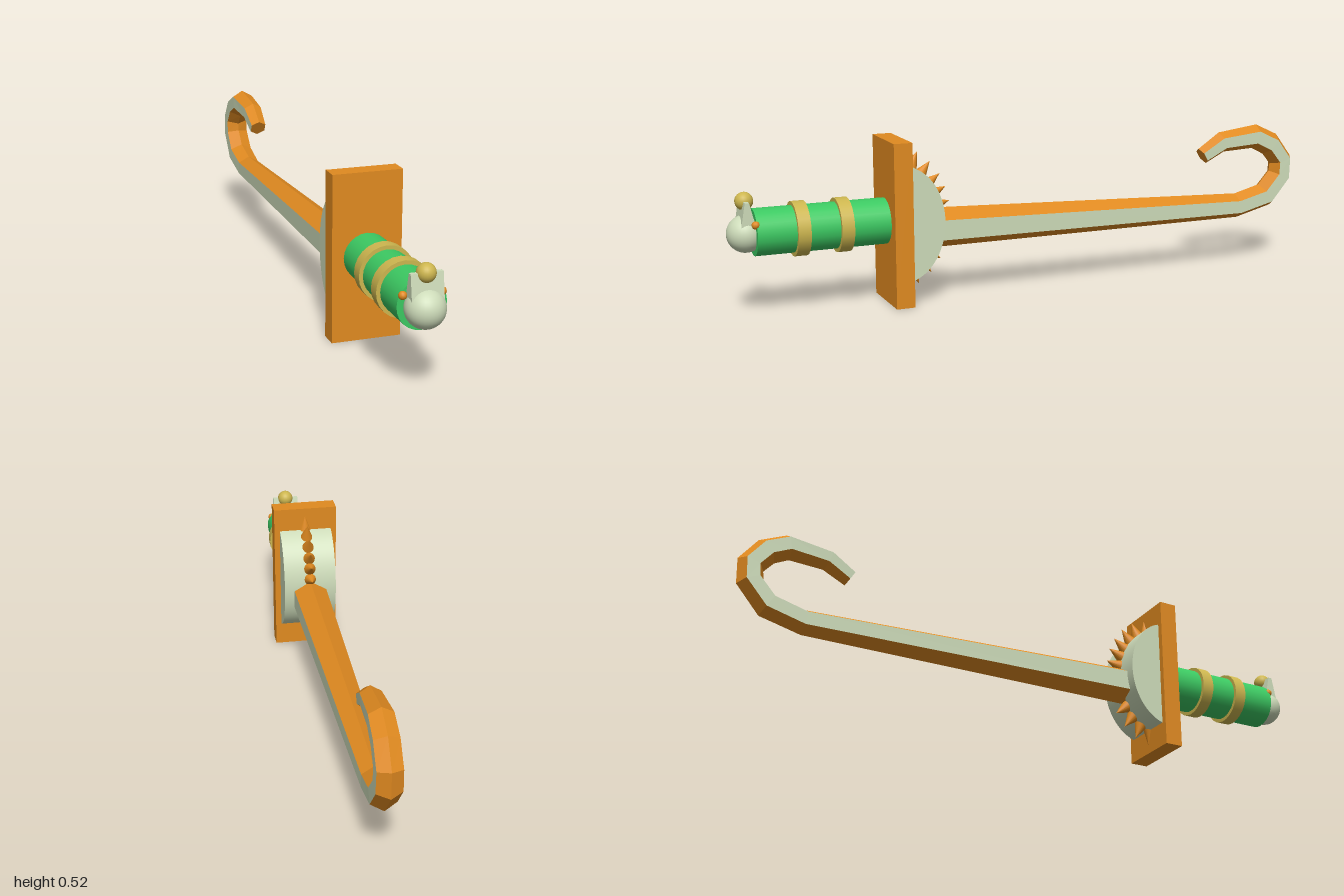
import * as THREE from 'three';

export function createModel() {
  const root = new THREE.Group();
  root.name = 'hookedSword';
  const mat = (name, color, flat = false) => {
    const m = new THREE.MeshStandardMaterial({ color });
    m.name = name;
    m.flatShading = flat;
    return m;
  };
  const orange = mat('orange', 0xe08a20);
  const pale = mat('pale green grey', 0xcddbb9);
  const green = mat('green', 0x3cc962);
  const gold = mat('gold', 0xcdb64f);

  const add = (name, geometry, material, x = 0, y = 0, z = 0) => {
    const mesh = new THREE.Mesh(geometry, material);
    mesh.name = name;
    mesh.position.set(x, y, z);
    root.add(mesh);
    return mesh;
  };
  const axisY = 0.262;

  // Guard plate
  add('guard', new THREE.BoxGeometry(0.218, 0.52, 0.06), orange, 0, 0.26, 0.475);

  // Grip with two rings
  const rod = (r, len) => new THREE.CylinderGeometry(r, r, len, 24).rotateX(Math.PI / 2);
  add('grip', rod(0.073, 0.44), green, 0, axisY, 0.7);
  for (const z of [0.78, 0.645]) add('gripRing', rod(0.085, 0.04), gold, 0, axisY, z);

  // Pommel: ball, wedge crest, gold bead and side studs
  add('pommel', new THREE.SphereGeometry(0.058, 32, 20), pale, 0, 0.26, 0.942);
  const wedge = new THREE.Shape([
    [0.915, 0.27], [0.966, 0.27], [0.95, 0.362], [0.937, 0.362],
  ].map(([z, y]) => new THREE.Vector2(z, y)));
  const crest = new THREE.ExtrudeGeometry(wedge, { depth: 0.094, bevelEnabled: false });
  crest.translate(0, 0, -0.047).rotateY(-Math.PI / 2);
  add('pommelCrest', crest, pale);
  add('pommelBead', new THREE.SphereGeometry(0.028, 24, 16), gold, 0, 0.36, 0.943);
  for (const s of [-1, 1]) {
    add('pommelStud', new THREE.SphereGeometry(0.0125, 10, 8), orange, s * 0.057, 0.295, 0.922);
  }

  // Half-oval boss behind the guard
  const boss = new THREE.CylinderGeometry(1, 1, 0.18, 40, 1, false, Math.PI / 2, Math.PI);
  boss.rotateZ(Math.PI / 2).scale(1, 0.185, 0.14);
  add('boss', boss, pale, 0, 0.26, 0.475);

  // Spikes fanned around the boss, above and below the blade
  const up = new THREE.Vector3(0, 1, 0);
  for (const s of [-1, 1]) {
    for (const deg of [81, 65, 50, 36, 24, 12]) {
      const t = THREE.MathUtils.degToRad(deg);
      const at = (ry, rz) => new THREE.Vector3(0, 0.26 + s * ry * Math.sin(t), 0.475 - rz * Math.cos(t));
      const base = at(0.172, 0.128), tip = at(0.236, 0.19);
      const dir = tip.clone().sub(base);
      const mid = base.clone().add(tip).multiplyScalar(0.5);
      const spike = add('spike', new THREE.ConeGeometry(0.025, dir.length(), 16), orange, 0, mid.y, mid.z);
      spike.quaternion.setFromUnitVectors(up, dir.normalize());
    }
  }

  // Blade: tapering hexagonal sweep ending in an upward hook [z, y, radius]
  const path = [
    [0.345, 0.225, 0.065], [-0.78, 0.203, 0.043], [-0.895, 0.232, 0.045], [-0.954, 0.3, 0.044],
    [-0.957, 0.356, 0.043], [-0.912, 0.413, 0.043], [-0.847, 0.444, 0.042],
    [-0.715, 0.432, 0.036], [-0.64, 0.388, 0.03],
  ];
  const unit = (a, b) => new THREE.Vector2(b[0] - a[0], b[1] - a[1]).normalize();
  const rings = path.map((p, i) => {
    const dir = new THREE.Vector2();
    if (i > 0) dir.add(unit(path[i - 1], p));
    if (i < path.length - 1) dir.add(unit(p, path[i + 1]));
    dir.normalize();
    return Array.from({ length: 6 }, (_, k) => {
      const a = k * Math.PI / 3, c = p[2] * Math.cos(a);
      return [p[2] * Math.sin(a), p[1] - dir.x * c, p[0] + dir.y * c];
    });
  });
  const edges = [], sides = [];
  for (let i = 0; i < rings.length - 1; i++) {
    for (let k = 0; k < 6; k++) {
      const n = (k + 1) % 6;
      const a = rings[i][k], b = rings[i][n], c = rings[i + 1][n], d = rings[i + 1][k];
      (k % 3 === 1 ? sides : edges).push(...a, ...b, ...c, ...a, ...c, ...d);
    }
  }
  // Blade end caps
  const first = rings[0], last = rings[rings.length - 1];
  for (let k = 1; k < 5; k++) {
    edges.push(...first[0], ...first[k + 1], ...first[k]);
    edges.push(...last[0], ...last[k], ...last[k + 1]);
  }
  const facets = (list) => {
    const g = new THREE.BufferGeometry();
    g.setAttribute('position', new THREE.Float32BufferAttribute(list, 3));
    g.computeVertexNormals();
    return g;
  };
  add('bladeEdges', facets(edges), orange);
  add('bladeSides', facets(sides), pale);

  return root;
}
